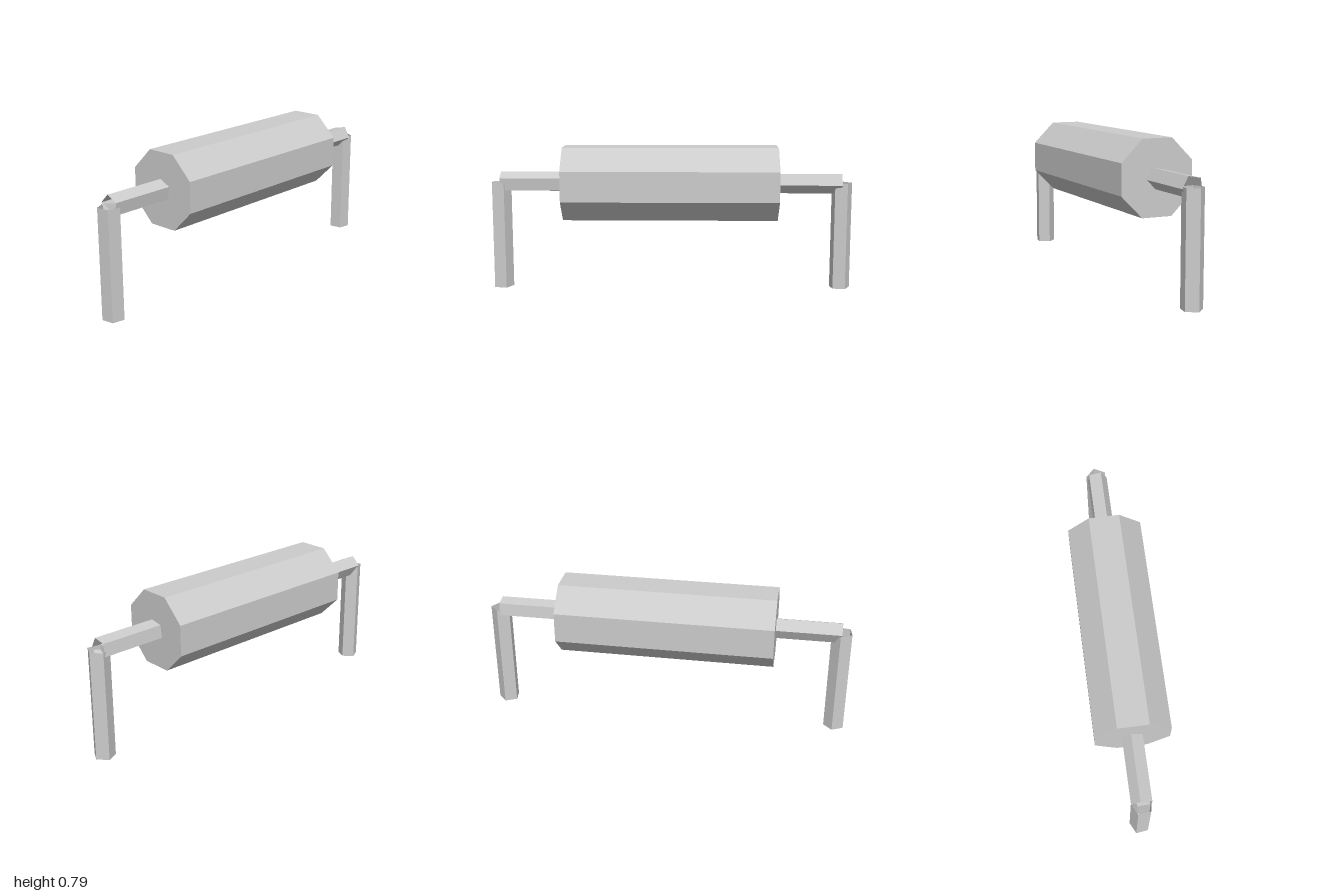
import * as THREE from 'three';

const AXIS_Y = 0.591;      // height of the body and lead axis
const WIRE_RADIUS = 0.058;
const rad = THREE.MathUtils.degToRad;

const solid = new THREE.MeshStandardMaterial({ color: 0xcccccc, flatShading: true });
const hollow = new THREE.MeshStandardMaterial({ color: 0xcccccc, flatShading: true, side: THREE.DoubleSide });

// Open five-sided wire segment, upright and centred on its own middle
function wire(length, startDeg) {
  return new THREE.CylinderGeometry(WIRE_RADIUS, WIRE_RADIUS, length, 5, 1, true, rad(startDeg));
}

function addPart(group, name, geometry, material, x, y) {
  const mesh = new THREE.Mesh(geometry, material);
  mesh.name = name;
  mesh.position.set(x, y, 0);
  group.add(mesh);
}

export function createModel() {
  const group = new THREE.Group();
  group.name = 'resistor';

  // Octagonal body lying along x, flat side up
  const bodyRadius = 0.2 / Math.cos(Math.PI / 8);
  const body = new THREE.CylinderGeometry(bodyRadius, bodyRadius, 1.18, 8, 1, false, Math.PI / 8);
  body.rotateZ(-Math.PI / 2);
  addPart(group, 'body', body, solid, -0.005, AXIS_Y);

  // Horizontal lead from the body to each leg axis, then the leg down to the ground
  const ends = [
    { side: 'left', inner: 0.58, outer: 0.94, legX: 0.943, startDeg: 8 },
    { side: 'right', inner: -0.59, outer: -0.947, legX: -0.949, startDeg: 188 },
  ];
  for (const { side, inner, outer, legX, startDeg } of ends) {
    const lead = wire(Math.abs(outer - inner), startDeg).rotateZ(-Math.PI / 2);
    addPart(group, side + 'Lead', lead, hollow, (inner + outer) / 2, AXIS_Y);
    addPart(group, side + 'Leg', wire(AXIS_Y, 98), hollow, legX, AXIS_Y / 2);
  }
  return group;
}
